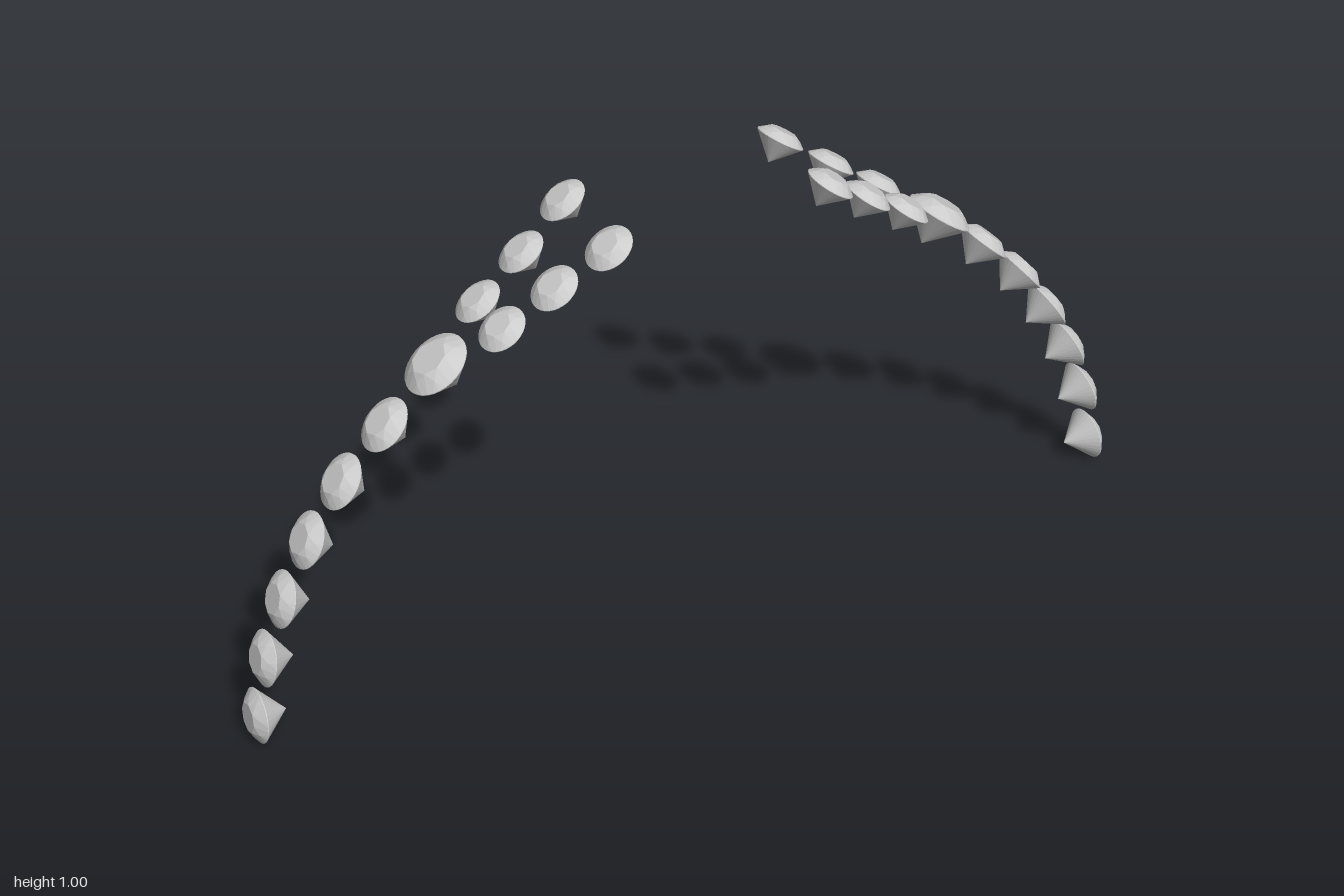
import * as THREE from 'three';
import { ConvexGeometry } from 'three/addons/geometries/ConvexGeometry.js';

// Brilliant-cut stone of unit radius: table up +y, girdle at y = 0, culet below
function gemGeometry() {
  const points = [];
  const ring = (n, radius, y, turn = 0) => {
    for (let i = 0; i < n; i++) {
      const a = (i + turn) / n * Math.PI * 2;
      points.push(new THREE.Vector3(radius * Math.cos(a), y, radius * Math.sin(a)));
    }
  };
  ring(8, 0.55, 0.35);        // table
  ring(8, 0.78, 0.2, 0.5);    // crown facets
  ring(32, 1, 0.015);         // thin girdle
  ring(32, 1, -0.015);
  points.push(new THREE.Vector3(0, -1.05, 0)); // culet
  return new ConvexGeometry(points);
}

export function createModel() {
  const model = new THREE.Group();
  model.name = 'gemArch';
  const geometry = gemGeometry();
  const material = new THREE.MeshStandardMaterial({ color: 0xcccccc, flatShading: true });
  const up = new THREE.Vector3(0, 1, 0);

  // Stone centre, radius and outward angle in degrees above horizontal
  const addGem = (parent, name, x, y, z, radius, angle, lean = 0) => {
    const a = THREE.MathUtils.degToRad(angle);
    const normal = new THREE.Vector3(Math.cos(a), Math.sin(a), lean).normalize();
    const gem = new THREE.Mesh(geometry, material);
    gem.name = name;
    gem.position.set(x, y, z);
    gem.scale.setScalar(radius);
    gem.quaternion.setFromUnitVectors(up, normal);
    parent.add(gem);
  };

  // Single row: x, y, angle
  const row = [
    [0.976, 0.058, 6], [0.949, 0.193, 14], [0.903, 0.322, 22],
    [0.841, 0.442, 31], [0.764, 0.553, 40], [0.668, 0.652, 48],
  ];
  // Forked rows: x, y, z
  const fork = [[0.442, 0.827, 0.053], [0.34, 0.896, 0.071], [0.238, 0.967, 0.096]];

  for (const side of ['left', 'right']) {
    const branch = new THREE.Group();
    branch.name = side + 'Branch';
    row.forEach(([x, y, angle], i) => addGem(branch, `rowGem${i + 1}`, x, y, 0, 0.057, angle));
    addGem(branch, 'largeGem', 0.557, 0.753, 0, 0.069, 56);
    for (const s of [1, -1]) {
      fork.forEach(([x, y, z], i) =>
        addGem(branch, `${s > 0 ? 'front' : 'back'}ForkGem${i + 1}`, x, y, s * z, 0.05, 57, s * 0.07));
    }
    // The branch is symmetric in z, so a half turn mirrors it
    if (side === 'right') branch.rotation.y = Math.PI;
    model.add(branch);
  }
  return model;
}
